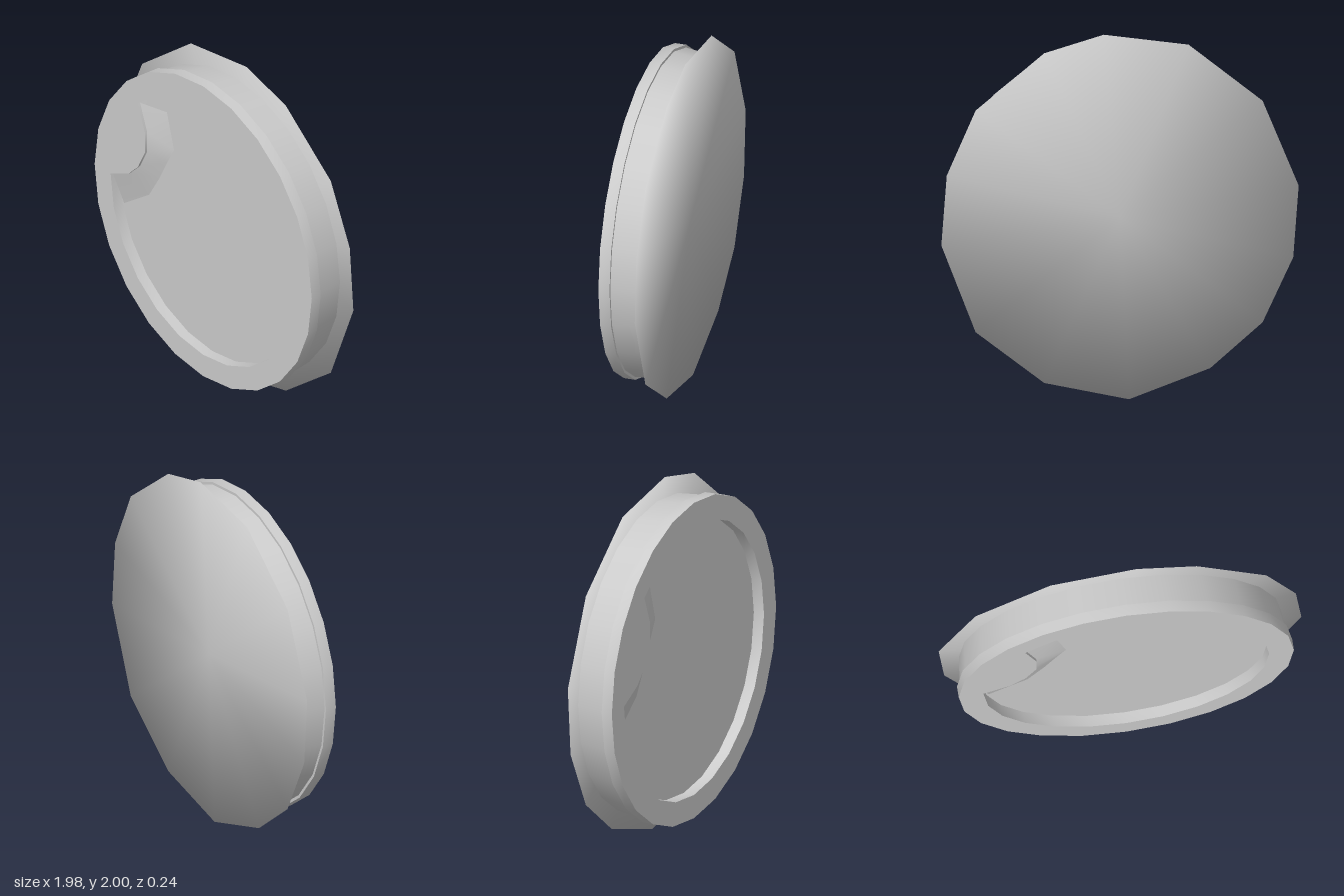
import * as THREE from 'three';
import { toCreasedNormals } from 'three/addons/utils/BufferGeometryUtils.js';

const CENTRE_Y = 1.01;
const FLOOR_Z = 0.055;
const FRONT_Z = 0.118;

const material = new THREE.MeshStandardMaterial({ color: 0xcccccc, side: THREE.DoubleSide });

function addMesh(group, name, geometry) {
  const mesh = new THREE.Mesh(geometry, material);
  mesh.name = name;
  group.add(mesh);
  return mesh;
}

// Points on an arc around the rim centre, angles in degrees
function arc(radius, from, to, steps) {
  return Array.from({ length: steps + 1 }, (_, i) => {
    const a = THREE.MathUtils.degToRad(from + ((to - from) * i) / steps);
    return new THREE.Vector2(radius * Math.cos(a), CENTRE_Y + radius * Math.sin(a));
  });
}

function indexed(positions, index) {
  const geometry = new THREE.BufferGeometry();
  geometry.setAttribute('position', new THREE.Float32BufferAttribute(positions, 3));
  geometry.setIndex(index);
  geometry.computeVertexNormals();
  return geometry;
}

// Thin irregular disc: two fans sharing one sharp outer edge
function flangeGeometry() {
  const outline = [
    [0.09, 2.0], [-0.38, 1.93], [-0.79, 1.61], [-0.99, 1.14], [-0.96, 0.75],
    [-0.79, 0.4], [-0.5, 0.16], [-0.05, 0.005], [0.42, 0.11], [0.8, 0.4],
    [0.99, 0.88], [0.96, 1.26], [0.8, 1.61], [0.42, 1.91],
  ];
  const n = outline.length;
  const positions = outline.flatMap(([x, y]) => [x, y, -0.112]);
  positions.push(0, 1, -0.09, 0, 1, -0.118);
  const index = [];
  for (let i = 0; i < n; i++) {
    const j = (i + 1) % n;
    index.push(n, i, j, n + 1, j, i);
  }
  return indexed(positions, index);
}

// Inner edge of the rim where the finger notch bulges inwards
const notchTop = [
  [-0.55, 1.56], [-0.49, 1.4], [-0.49, 1.28], [-0.55, 1.16], [-0.63, 1.08], [-0.78, 1.01],
];
// Where the sloping side of the notch meets the floor
const notchFoot = [
  [-0.38, 1.56], [-0.32, 1.35], [-0.38, 1.24], [-0.44, 1.12], [-0.53, 0.97], [-0.74, 0.82],
];

function rimGeometry() {
  const shape = new THREE.Shape(arc(0.915, 0, 345, 23));
  const opening = arc(0.78, 180, 495, 21);
  const notch = notchTop.slice(1, -1).map(([x, y]) => new THREE.Vector2(x, y));
  shape.holes.push(new THREE.Path([...opening, ...notch]));
  const geometry = new THREE.ExtrudeGeometry(shape, {
    depth: FRONT_Z - FLOOR_Z, bevelEnabled: false, curveSegments: 1,
  });
  geometry.translate(0, 0, FLOOR_Z);
  return toCreasedNormals(geometry, 0.5);
}

// Smooth ramp from the notch edge down to the recessed floor
function notchRampGeometry() {
  const positions = [];
  const index = [];
  notchTop.forEach(([x, y], i) => {
    const [fx, fy] = notchFoot[i];
    positions.push(x, y, FRONT_Z - 0.015, fx, fy, FLOOR_Z + 0.001);
    if (i > 0) {
      const a = 2 * (i - 1);
      index.push(a, a + 2, a + 1, a + 1, a + 2, a + 3);
    }
  });
  return indexed(positions, index);
}

export function createModel() {
  const group = new THREE.Group();
  group.name = 'lid';

  addMesh(group, 'backFlange', flangeGeometry());

  // Slightly tapered drum between flange and rim
  const drum = new THREE.CylinderGeometry(0.9, 0.88, 0.165, 24, 1, true);
  drum.rotateX(Math.PI / 2);
  addMesh(group, 'drum', drum).position.set(0, CENTRE_Y, FLOOR_Z - 0.0825);

  // Flat floor of the front recess
  addMesh(group, 'recessFloor', new THREE.CircleGeometry(0.89, 24))
    .position.set(0, CENTRE_Y, FLOOR_Z);

  addMesh(group, 'frontRim', rimGeometry());
  addMesh(group, 'notchRamp', notchRampGeometry());

  return group;
}
